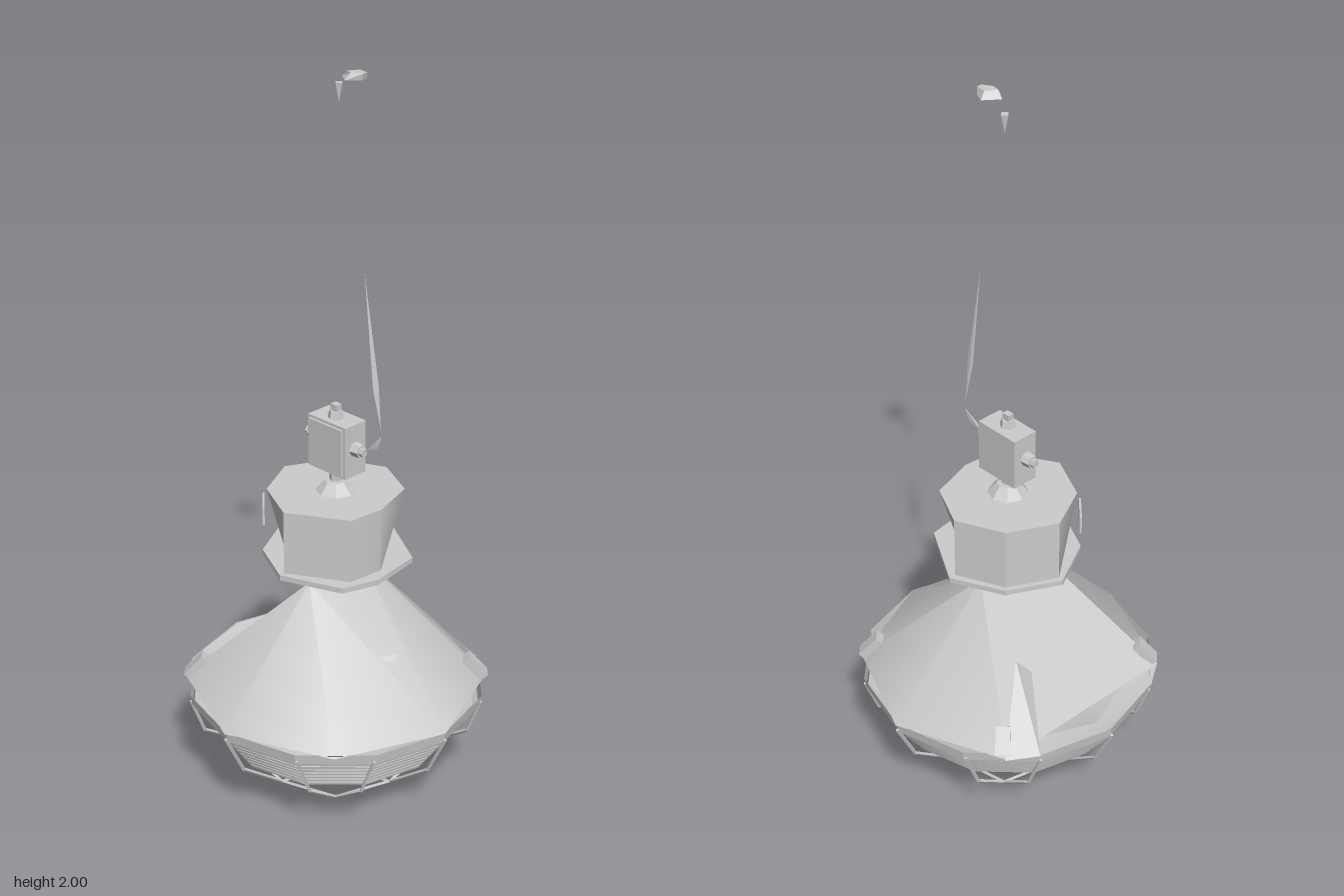
import * as THREE from 'three';
import { toCreasedNormals } from 'three/addons/utils/BufferGeometryUtils.js';

export function createModel() {
  const model = new THREE.Group();
  model.name = 'pendantLamp';
  const metal = new THREE.MeshStandardMaterial({ color: 0xcccccc, side: THREE.DoubleSide });
  metal.name = 'lightGreyMetal';

  const add = (name, geo, x = 0, y = 0, z = 0, crease = 0.5) => {
    const mesh = new THREE.Mesh(toCreasedNormals(geo, crease), metal);
    mesh.name = name;
    mesh.position.set(x, y, z);
    model.add(mesh);
    return mesh;
  };
  // Surface from corner points and fan-triangulated faces
  const faces = (points, polys) => {
    const g = new THREE.BufferGeometry();
    g.setAttribute('position', new THREE.Float32BufferAttribute(points.flat(), 3));
    g.setIndex(polys.flatMap(p => p.slice(2).flatMap((c, i) => [p[0], p[i + 1], c])));
    return g;
  };
  const ring = (pts, y) => pts.map(([x, z]) => [x, y, z]);
  // Horizontal polygon plate, listed as x, z
  const plate = (pts, depth, hole) => {
    const s = new THREE.Shape(pts.map(([x, z]) => new THREE.Vector2(x, -z)));
    if (hole) s.holes.push(new THREE.Path().absarc(0, 0, hole, 0, Math.PI * 2));
    return new THREE.ExtrudeGeometry(s, { depth, bevelEnabled: false, curveSegments: 4 }).rotateX(-Math.PI / 2);
  };

  // Shade: facets run from a short ridge down to the rim, cut straight on one side
  const rim = [[0, .41], [.285, .29], [.405, 0], [.285, -.29], [0, -.41], [-.3, -.285], [-.3, .285]];
  add('shade', faces([...ring(rim, .3), [0, .63, .1], [0, .63, -.1]],
    [[0, 1, 7], [1, 2, 7], [2, 8, 7], [2, 3, 8], [3, 4, 8], [4, 5, 8], [5, 6, 7, 8], [6, 0, 7]]), 0, 0, 0, 0.65);
  add('shadeSidePatch', faces(
    [[-.16, .455, -.12], [-.22, .455, -.12], [-.35, .3, -.21], [-.3, .3, -.29], [-.4, .3, 0], [-.35, .29, 0],
      [-.295, .3, .16], [-.35, .3, .21], [-.3, .3, .285], [-.295, .3, -.16]],
    [[0, 1, 2, 3], [3, 2, 9], [2, 4, 5, 9], [5, 4, 7, 6], [6, 7, 8]]));
  add('shadeTab', faces([[.2, .463, .05], [.225, .463, -.005], [.23, .45, .01], [.205, .45, .06]], [[0, 3, 2, 1]]));
  add('neckPlate', faces([[0, .625, .1], [0, .625, -.1], [-.08, .68, -.1], [-.08, .68, .1]], [[0, 1, 2, 3]]));
  add('rimBand', new THREE.CylinderGeometry(.405, .4, .03, 12, 1, true), 0, .287);

  // Clips around the shade rim
  for (const sx of [1, -1]) for (const sz of [1, -1]) {
    const clip = add('rimClip', new THREE.BoxGeometry(.04, .025, .075), sx * .268, .335, sz * .268);
    clip.rotation.set(.85, Math.atan2(sx, sz), 0, 'YXZ');
  }

  // Ribbed glass bowl
  const bowl = [[0, .03], [.12, .055], [.22, .095], [.3, .15]];
  for (let i = 0; i < 7; i++) {
    const y = .152 + i * .018, r = .305 + i * .013;
    bowl.push([r + .008, y], [r + .01, y + .008], [r - .002, y + .012]);
  }
  bowl.push([.395, .28]);
  add('glassBowl', new THREE.LatheGeometry(bowl.map(p => new THREE.Vector2(...p)), 12), 0, 0, 0, 0.6);

  // Wire guard: crossing planar wires
  const bar = (a, b) => {
    const d = new THREE.Vector3().subVectors(b, a);
    const rod = add('guardWire', new THREE.CylinderGeometry(.005, .005, d.length() + .004, 4));
    rod.position.copy(a).addScaledVector(d, .5);
    rod.quaternion.setFromUnitVectors(new THREE.Vector3(0, 1, 0), d.normalize());
  };
  const centreWire = [[-.405, .28], [-.345, .16], [-.205, .055], [0, .01], [.205, .055], [.345, .16], [.405, .28]];
  const sideWire = [[-.345, .28], [-.3, .17], [-.205, .105], [0, .055], [.205, .105], [.3, .17], [.345, .28]];
  for (const [offset, path] of [[-.205, sideWire], [0, centreWire], [.205, sideWire]])
    for (const turned of [false, true]) {
      const pts = path.map(([u, y]) => turned ? new THREE.Vector3(u, y, offset) : new THREE.Vector3(offset, y, u));
      pts.slice(1).forEach((p, i) => bar(pts[i], p));
    }

  // Housing: eight corners on top, two of them pulled in at the bottom
  const top = [[0, .19], [.155, .1], [.165, 0], [.125, -.13], [0, -.19], [-.13, -.13], [-.195, 0], [-.13, .127]];
  const bottom = top.map(p => [...p]);
  bottom[3] = [.085, -.095];
  bottom[7] = [-.095, .095];
  const walls = top.map((_, i) => [i, (i + 1) % 8, 8 + (i + 1) % 8, 8 + i]);
  add('housing', faces([...ring(bottom, .69), ...ring(top, .87)], [...walls, [8, 9, 10, 11, 12, 13, 14, 15]]));
  add('housingFlange', plate([[0, .205], [.165, .14], [.197, .04], [.175, -.11], [0, -.21], [-.14, -.14], [-.21, 0], [-.135, .14]], .015, .13), 0, .678);
  const label = add('namePlate', new THREE.BoxGeometry(.09, .05, .006), -.145, .805, .125);
  label.rotation.y = -.75;

  // Junction box with cable glands
  add('housingCollar', new THREE.CylinderGeometry(.03, .055, .03, 8), 0, .885);
  add('lowerGland', new THREE.CylinderGeometry(.017, .017, .05, 6), 0, .915);
  add('junctionBox', new THREE.BoxGeometry(.135, .145, .075), 0, 1.005, -.003);
  add('boxCover', new THREE.BoxGeometry(.12, .13, .008), 0, 1.005, .037);
  for (const s of [1, -1]) {
    add('sideGland', new THREE.CylinderGeometry(.017, .02, .025, 6).rotateZ(-s * Math.PI / 2), s * .08, 1.01);
    add('glandNut', new THREE.CylinderGeometry(.012, .012, .014, 6).rotateZ(Math.PI / 2), s * .097, 1.01);
  }
  add('topGland', new THREE.CylinderGeometry(.018, .022, .02, 6), 0, 1.088);
  add('topEyelet', new THREE.BoxGeometry(.022, .022, .018), 0, 1.105);

  // Cable slivers
  const tetra = [[0, 1, 2], [0, 2, 3], [0, 3, 1], [1, 3, 2]];
  add('cableEnd', faces([[.1, 1.01, -.002], [.15, 1.068, -.015], [.14, 1.03, -.01], [.12, 1.03, 0]], tetra));
  add('cableUpper', faces([[.1, 1.5, 0], [.148, 1.21, -.004], [.132, 1.26, -.004], [.138, 1.2, .006]], tetra));
  add('cableLower', faces([[.152, 1.085, -.01], [.148, 1.21, -.004], [.132, 1.26, -.004], [.138, 1.2, .006]], tetra));

  // Ceiling fixings
  add('hangerTip', new THREE.ConeGeometry(.012, .05, 4).rotateX(Math.PI), 0, 1.935, -.01);
  add('ceilingHook', faces([...ring([[.025, .005], [.06, .03], [.088, 0], [.085, -.02], [.055, -.035]], 1.983),
    ...ring([[.045, .01], [.065, .015], [.092, 0], [.09, -.015], [.06, -.02]], 2)],
  [[4, 3, 2, 1, 0], [5, 6, 7, 8, 9], ...[0, 1, 2, 3, 4].map(i => [i, (i + 1) % 5, 5 + (i + 1) % 5, 5 + i])]));

  return model;
}
